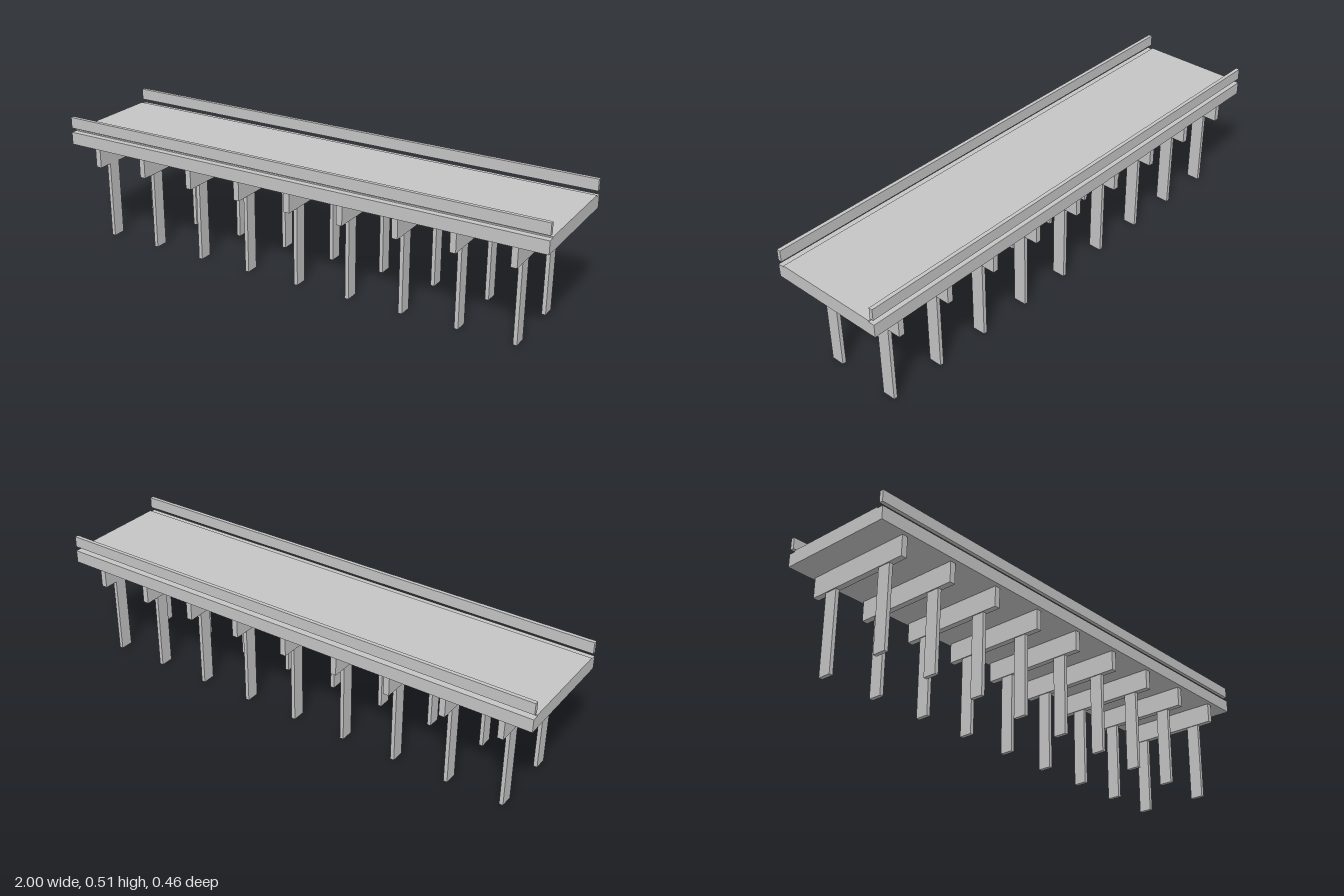
import * as THREE from 'three';

export function createModel() {
  const model = new THREE.Group();
  model.name = 'trestleBridge';
  const concrete = new THREE.MeshStandardMaterial({ color: 0xc4c4c4 });
  concrete.name = 'concrete grey';

  // Box given by its width, height and depth, and the centre of its underside
  function box(parent, name, w, h, d, x, y, z) {
    const mesh = new THREE.Mesh(new THREE.BoxGeometry(w, h, d), concrete);
    mesh.name = name;
    mesh.position.set(x, y + h / 2, z);
    parent.add(mesh);
  }

  // Deck: one stepped cross-section with a raised roadway, run along x
  const half = [[0.23, 0.396], [0.23, 0.446], [0.205, 0.446], [0.205, 0.451]];
  const outline = [...half, ...half.map(([z, y]) => [-z, y]).reverse()];
  const section = new THREE.Shape(outline.map(([z, y]) => new THREE.Vector2(z, y)));
  const deckGeometry = new THREE.ExtrudeGeometry(section, { depth: 2, bevelEnabled: false });
  deckGeometry.translate(0, 0, -1).rotateY(Math.PI / 2);
  const deck = new THREE.Mesh(deckGeometry, concrete);
  deck.name = 'deck';
  model.add(deck);

  // Floating side rails
  for (const side of [-1, 1]) {
    box(model, side > 0 ? 'frontRail' : 'backRail', 2, 0.044, 0.015, 0, 0.463, side * 0.2205);
  }

  // Nine bents, each a cross beam on two flat piles
  for (let i = 0; i < 9; i++) {
    const bent = new THREE.Group();
    bent.name = `bent${i + 1}`;
    bent.position.x = -0.003 + (i - 4) * 0.2205;
    box(bent, 'crossBeam', 0.023, 0.079, 0.43, 0, 0.315, 0);
    for (const side of [-1, 1]) {
      box(bent, side > 0 ? 'frontPile' : 'backPile', 0.015, 0.315, 0.052, 0, 0, side * 0.13);
    }
    model.add(bent);
  }
  return model;
}
